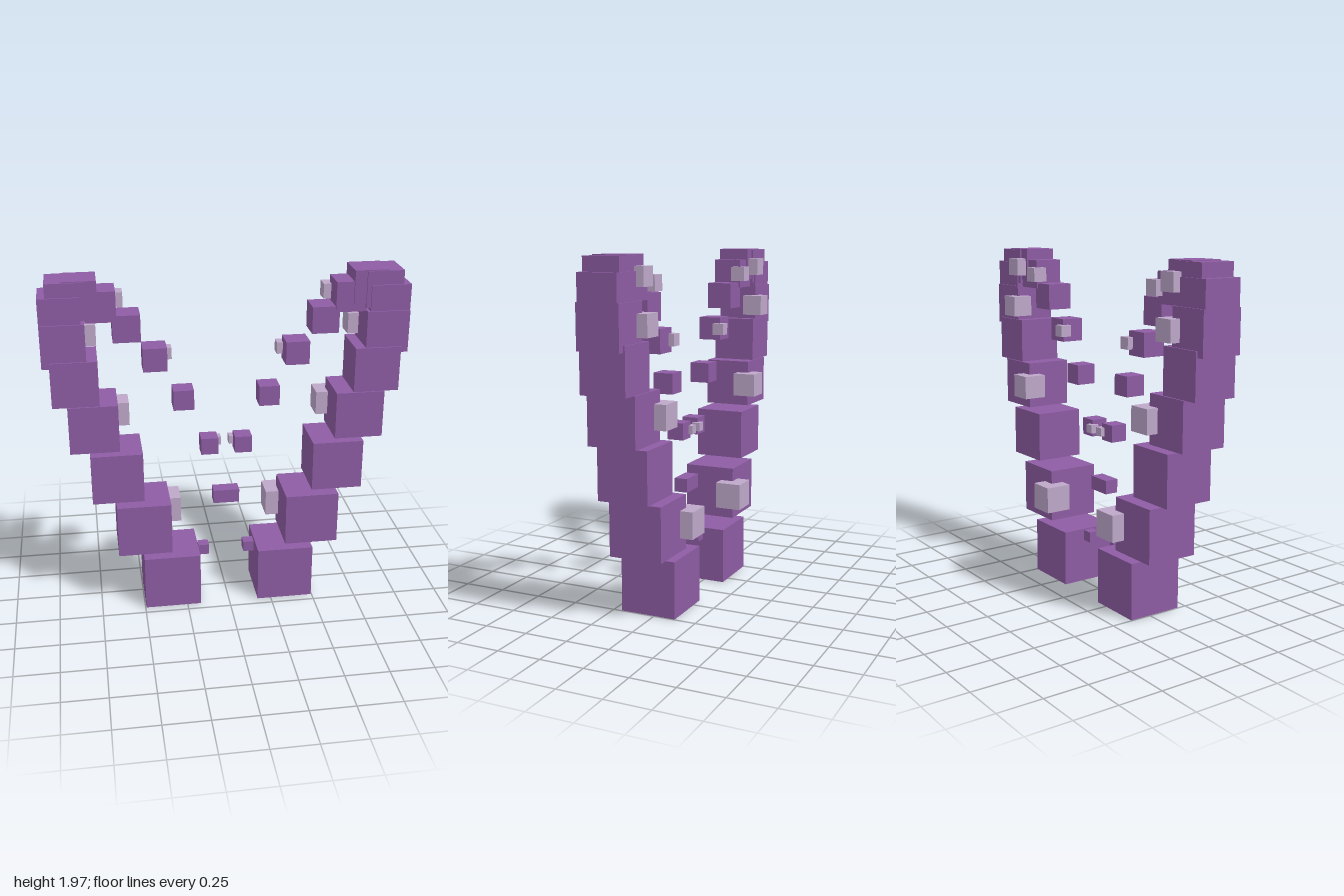
import * as THREE from 'three';

const purple = new THREE.MeshStandardMaterial({ color: 0x8e5ca3 });
purple.name = 'purple';
const paleMauve = new THREE.MeshStandardMaterial({ color: 0xbea8ca });
paleMauve.name = 'pale mauve';

// Segment centres (x, y) from the base up, over the curl and down to the tip
const path = [
  [0.333, 0.163], [0.486, 0.512], [0.627, 0.845], [0.743, 1.148],
  [0.832, 1.412], [0.881, 1.625], [0.89, 1.778], [0.857, 1.863],
  [0.782, 1.877], [0.677, 1.823], [0.542, 1.695], [0.394, 1.509],
  [0.241, 1.262], [0.097, 0.969], [-0.035, 0.64], [-0.135, 0.288],
];
const Z = 0.037;

function cube(name, size, material, x, y, z) {
  const mesh = new THREE.Mesh(new THREE.BoxGeometry(size, size, size), material);
  mesh.name = name;
  mesh.position.set(x, y, z);
  return mesh;
}

// One tentacle of shrinking cubes; side is +1 for left, -1 for right
function makeTentacle(side) {
  const tentacle = new THREE.Group();
  tentacle.name = side > 0 ? 'leftTentacle' : 'rightTentacle';
  path.forEach(([x, y], i) => {
    const size = 0.325 - i * 0.0175;
    tentacle.add(cube(`segment${i + 1}`, size, purple, side * x, y, Z));
    // Every second segment has a sucker on its inner back edge
    if (i % 2 === 1 && i < 15) {
      tentacle.add(cube(`sucker${i + 1}`, size / 2, paleMauve,
        side * (x - size / 2), y, Z - size / 2));
    }
  });
  return tentacle;
}

export function createModel() {
  const model = new THREE.Group();
  model.name = 'tentaclePair';
  model.add(makeTentacle(1), makeTentacle(-1));
  return model;
}
